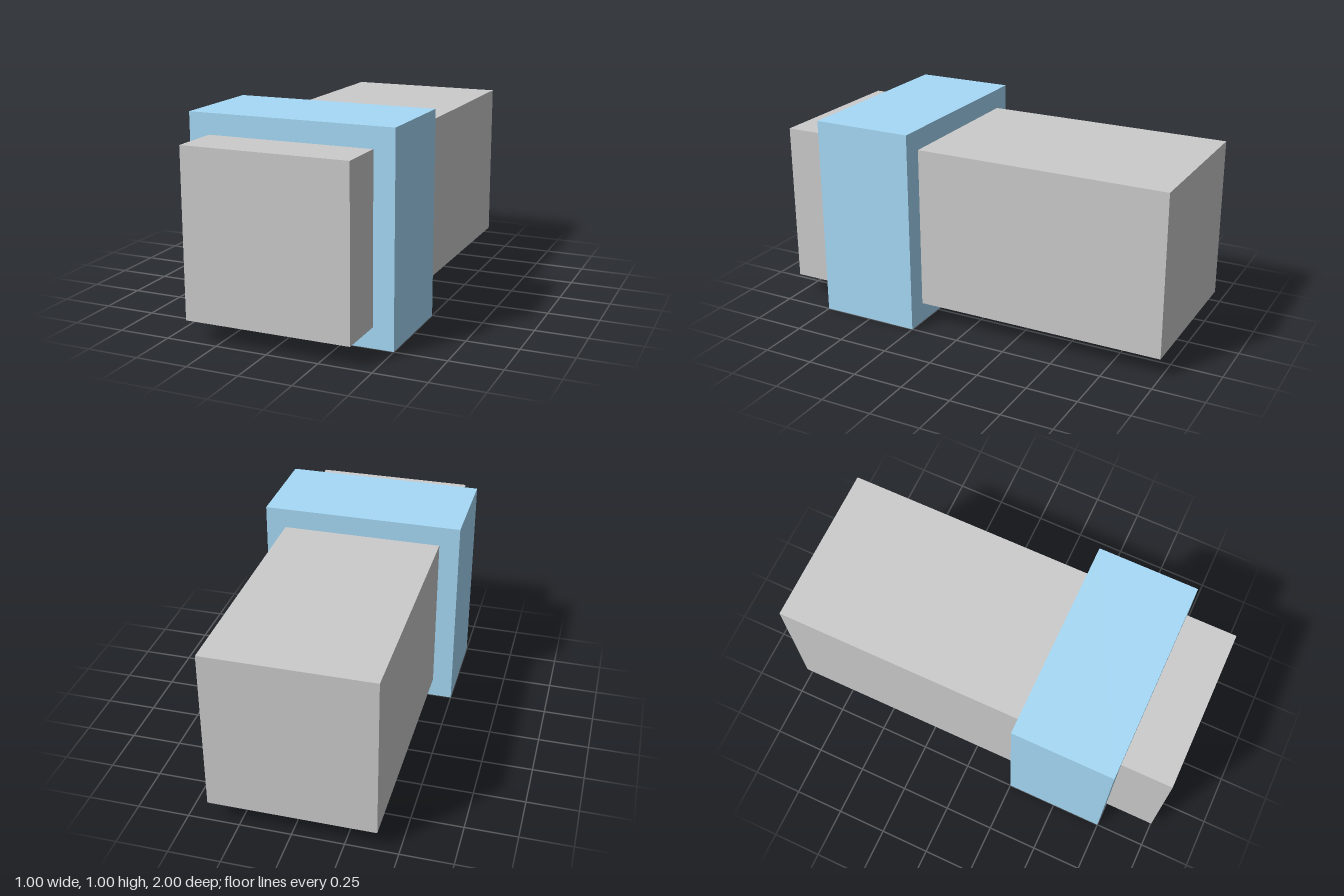
import * as THREE from 'three';

// Adds a named box of the given size, centred at y = 0.5 and the given z.
function addBox(group, name, color, width, height, depth, z) {
  const material = new THREE.MeshStandardMaterial({ color });
  const mesh = new THREE.Mesh(new THREE.BoxGeometry(width, height, depth), material);
  mesh.name = name;
  mesh.position.set(0, 0.5, z);
  group.add(mesh);
}

export function createModel() {
  const group = new THREE.Group();
  group.name = 'collaredBlock';

  // Long square bar running front to back
  addBox(group, 'bar', 0xcccccc, 0.8, 0.8, 2, 0);

  // Wider collar around the bar, towards the front
  addBox(group, 'collar', 0xa6daf7, 1, 1, 0.5, 0.5);

  return group;
}
